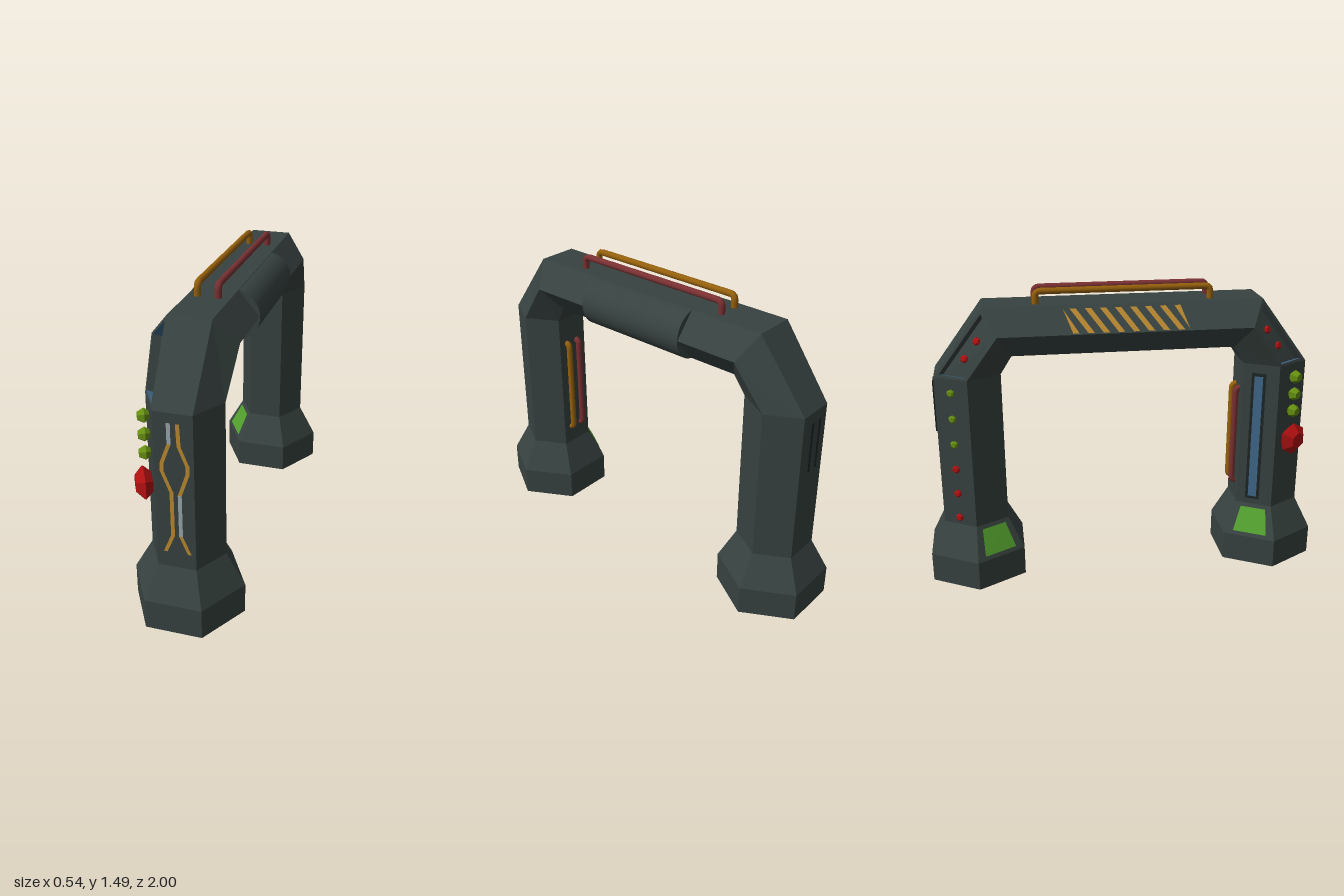
import * as THREE from 'three';

const mat = (name, color) => {
  const m = new THREE.MeshStandardMaterial({ color, side: THREE.DoubleSide });
  m.name = name;
  return m;
};
const V = (x, y, z) => new THREE.Vector3(x, y, z);

// Half of the arch as hexagon rings: [outer z,y], [middle z,y], [inner z,y], outer half width
const RINGS = [
  [[1, 0], [0.765, 0], [0.53, 0], 0.135],
  [[1, 0.15], [0.765, 0.15], [0.53, 0.15], 0.135],
  [[0.925, 0.31], [0.765, 0.31], [0.605, 0.31], 0.09],
  [[0.925, 1.08], [0.765, 1.08], [0.605, 1.08], 0.09],
  [[0.68, 1.41], [0.615, 1.29], [0.55, 1.17], 0.1],
].map(([o, m, i, w]) => [
  V(2 * w, m[1], m[0]), V(w, o[1], o[0]), V(-w, o[1], o[0]),
  V(-2 * w, m[1], m[0]), V(-w, i[1], i[0]), V(w, i[1], i[0]),
]);
const mirrorZ = (p) => V(p.x, p.y, -p.z);
const ALL = [...RINGS, ...RINGS.slice().reverse().map((r) => r.map(mirrorZ))];

// Flat shaded geometry from a list of quads
function quads(list) {
  const pts = [];
  for (const [a, b, c, d] of list) pts.push(a, b, c, a, c, d);
  const g = new THREE.BufferGeometry().setFromPoints(pts);
  g.computeVertexNormals();
  return g;
}

// Point on face k of segment s of the front half, pushed out along the normal
function faceNormal(s, k, side = 1) {
  const a = RINGS[s][k], b = RINGS[s][(k + 1) % 6], d = RINGS[s + 1][k];
  const n = d.clone().sub(a).cross(b.clone().sub(a)).normalize();
  return side < 0 ? mirrorZ(n) : n;
}
function facePoint(s, k, u, v, off = 0, side = 1) {
  const low = RINGS[s][k].clone().lerp(RINGS[s][(k + 1) % 6], u);
  const high = RINGS[s + 1][k].clone().lerp(RINGS[s + 1][(k + 1) % 6], u);
  const p = low.lerp(high, v).addScaledVector(faceNormal(s, k), off);
  return side < 0 ? mirrorZ(p) : p;
}
const patch = (s, k, u0, u1, v0, v1, off, side) => [
  facePoint(s, k, u0, v0, off, side), facePoint(s, k, u0, v1, off, side),
  facePoint(s, k, u1, v1, off, side), facePoint(s, k, u1, v0, off, side),
];

export function createModel() {
  const body = mat('dark metal', 0x374240);
  const dark = mat('black metal', 0x1d2424);
  const red = mat('red light', 0xb01010);
  const lime = mat('green light', 0x669010);
  const panelGreen = mat('green panel', 0x52a02e);
  const blue = mat('blue glass', 0x3f6688);
  const pipeRed = mat('red pipe', 0x7a3032);
  const pipeOrange = mat('orange pipe', 0x95600c);
  const paint = mat('orange paint', 0xb8872f);
  const pale = mat('pale paint', 0x98a6ac);

  const root = new THREE.Group();
  root.name = 'archway';
  const add = (name, geo, material) => {
    const m = new THREE.Mesh(geo, material);
    m.name = name;
    root.add(m);
    return m;
  };

  // Hollow hexagonal arch, leaving out the two corner faces that hold recesses
  const shell = [];
  for (let s = 0; s < ALL.length - 1; s++) {
    for (let k = 0; k < 6; k++) {
      if (k === 2 && (s === 3 || s === 5)) continue;
      const j = (k + 1) % 6;
      shell.push([ALL[s][k], ALL[s + 1][k], ALL[s + 1][j], ALL[s][j]]);
    }
  }
  add('archShell', quads(shell), body);

  // Rounded casing along the left side of the beam
  const casing = new THREE.CylinderGeometry(0.122, 0.122, 0.6, 40);
  casing.rotateX(Math.PI / 2);
  add('beamCasing', casing, body).position.set(0.08, 1.288, 0);

  // Faceted lamp standing on a face
  const lamp = (name, profile, material, s, k, u, v, off, side) => {
    const pts = profile.map(([r, y]) => new THREE.Vector2(r, y));
    const g = new THREE.LatheGeometry(pts, 6).toNonIndexed();
    g.computeVertexNormals();
    const m = add(name, g, material);
    m.position.copy(facePoint(s, k, u, v, off, side));
    m.quaternion.setFromUnitVectors(V(0, 1, 0), faceNormal(s, k, side));
  };
  const legV = (y) => (y - 0.31) / 0.77;
  const stud = [[0.02, -0.004], [0.02, 0.009], [0.013, 0.015], [0, 0.015]];

  for (const side of [1, -1]) {
    const end = side > 0 ? 'front' : 'back';
    // Recessed corner bay with blue end walls
    const [u0, u1, v0, v1, depth] = [0.1, 0.9, 0.05, 0.95, -0.04];
    const P = (u, v, o = 0) => facePoint(3, 2, u, v, o, side);
    const wall = (a, b) => [P(...a), P(...b), P(...b, depth), P(...a, depth)];
    add(end + 'CornerBay', quads([
      patch(3, 2, 0, u0, 0, 1, 0, side), patch(3, 2, u1, 1, 0, 1, 0, side),
      patch(3, 2, u0, u1, 0, v0, 0, side), patch(3, 2, u0, u1, v1, 1, 0, side),
      patch(3, 2, u0, u1, v0, v1, depth, side),
      wall([u0, v0], [u0, v1]), wall([u1, v0], [u1, v1]),
    ]), body);
    add(end + 'BayGlass', quads([
      wall([u0, v0], [u1, v0]), wall([u0, v1], [u1, v1]),
    ]), blue);
    for (const v of [0.35, 0.65]) lamp(end + 'BayLamp', stud, red, 3, 2, 0.4, v, depth, side);

    // Green window in the foot, seen from inside as well
    add(end + 'FootWindow', quads([0.004, -0.004].map(
      (o) => patch(1, 3, 0.16, 0.84, 0.12, 0.88, o, side))), panelGreen);
  }

  // Lamps on the front leg
  for (const y of [1.015, 0.925, 0.835]) {
    lamp('greenLamp', [[0.02, 0], [0.036, 0.022], [0.02, 0.05], [0, 0.05]], lime, 2, 2, 0.5, legV(y), 0, 1);
  }
  lamp('redLamp', [[0.05, 0], [0.085, 0.036], [0.043, 0.072], [0, 0.072]], red, 2, 2, 0.5, legV(0.685), 0, 1);

  // Row of small studs on the back leg
  for (let i = 0; i < 6; i++) {
    lamp('legStud', stud, i < 3 ? lime : red, 2, 2, 0.5, legV(1.01 - i * 0.132), 0, -1);
  }

  // Vent slits on the back leg
  for (const x of [-0.02, 0.035]) {
    add('ventSlit', new THREE.BoxGeometry(0.016, 0.26, 0.024), dark).position.set(x, 0.91, -0.925);
  }

  // Blue light strip in a dark surround on the inside of the front leg
  add('stripSurround', quads([patch(2, 3, 0.36, 0.76, 0.04, 0.94, 0.003, 1)]), dark);
  add('lightStrip', quads([patch(2, 3, 0.44, 0.68, 0.06, 0.92, 0.006, 1)]), blue);

  // Bent handrail pipes
  const pipe = (name, pts, material) => {
    const path = new THREE.CurvePath();
    const [a, b, c, d] = pts;
    const near = (p, q) => p.clone().add(q.clone().sub(p).setLength(0.025));
    path.add(new THREE.LineCurve3(a, near(b, a)));
    path.add(new THREE.QuadraticBezierCurve3(near(b, a), b, near(b, c)));
    path.add(new THREE.LineCurve3(near(b, c), near(c, b)));
    path.add(new THREE.QuadraticBezierCurve3(near(c, b), c, near(c, d)));
    path.add(new THREE.LineCurve3(near(c, d), d));
    add(name, new THREE.TubeGeometry(path, 80, 0.016, 10), material);
  };
  for (const [x, m] of [[-0.052, pipeOrange], [0.044, pipeRed]]) {
    pipe('topPipe', [V(x, 1.4, 0.425), V(x, 1.47, 0.425), V(x, 1.47, -0.425), V(x, 1.4, -0.425)], m);
  }
  for (const [x, m] of [[0.04, pipeOrange], [-0.03, pipeRed]]) {
    pipe('legPipe', [V(x, 0.41, 0.635), V(x, 0.41, 0.586), V(x, 0.93, 0.586), V(x, 0.93, 0.635)], m);
  }

  // Painted circuit lines on the front leg
  const line = (pts, m) => {
    const list = [];
    const at = (p, d) => V(p[0] + d, p[1], 0.929);
    for (let i = 1; i < pts.length; i++) {
      const [p, q] = [pts[i - 1], pts[i]];
      list.push([at(p, -0.009), at(p, 0.009), at(q, 0.009), at(q, -0.009)]);
    }
    add('circuitLine', quads(list), m);
  };
  line([[-0.018, 1.035], [-0.018, 0.935]], pale);
  line([[-0.018, 0.935], [-0.053, 0.84], [-0.053, 0.8], [-0.013, 0.7], [-0.013, 0.48], [-0.05, 0.39]], paint);
  line([[0.022, 1.035], [0.026, 0.93], [0.062, 0.84], [0.062, 0.8], [0.024, 0.69]], paint);
  line([[0.024, 0.69], [0.024, 0.48]], pale);
  line([[0.024, 0.48], [0.062, 0.39]], paint);

  // Slanted warning stripes on the right slope of the beam
  const slope = (t, z) => V(-0.1 - 0.1 * t - 0.003, 1.41 - 0.12 * t + 0.003, THREE.MathUtils.clamp(z, -0.3, 0.3));
  const stripes = [];
  for (let i = 0; i < 9; i++) {
    const z = -0.3 + i * 0.072;
    stripes.push([slope(0.14, z - 0.04), slope(0.14, z - 0.01), slope(0.97, z + 0.07), slope(0.97, z + 0.04)]);
  }
  add('warningStripes', quads(stripes), paint);

  return root;
}
